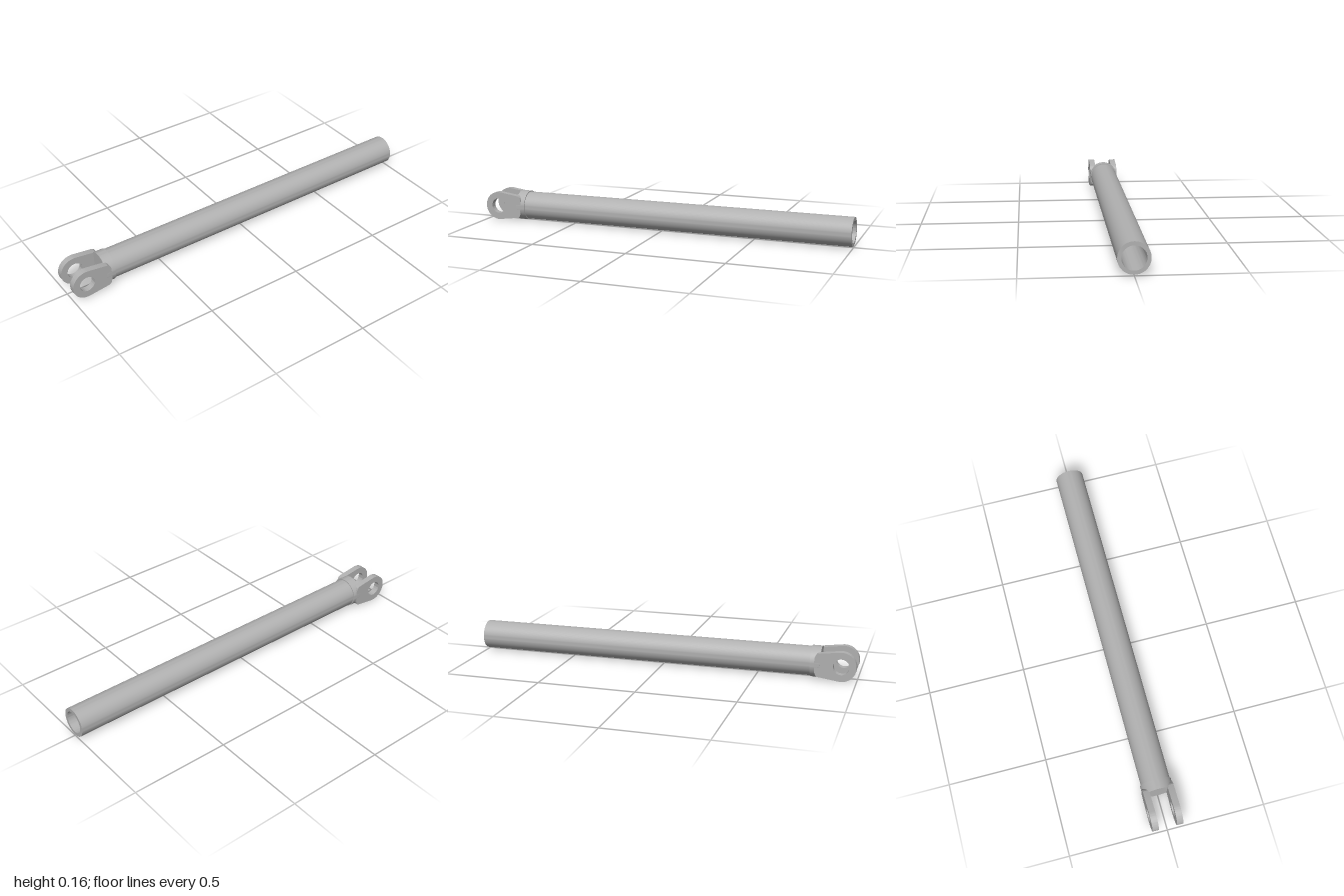
import * as THREE from 'three';
import { toCreasedNormals } from 'three/addons/utils/BufferGeometryUtils.js';

const AXIS_Y = 0.079; // height of the rod's centre line

export function createModel() {
  const model = new THREE.Group();
  model.name = 'clevisRod';
  const steel = new THREE.MeshStandardMaterial({ color: 0xb0b0b0 });
  steel.name = 'grey steel';

  const add = (name, geometry, z = 0) => {
    const mesh = new THREE.Mesh(toCreasedNormals(geometry, 0.5), steel);
    mesh.name = name;
    mesh.position.set(0, AXIS_Y, z);
    model.add(mesh);
  };

  // Turned parts: profile points are [x along the rod, radius]
  const turned = (profile) =>
    new THREE.LatheGeometry(profile.map(([x, r]) => new THREE.Vector2(r, x)), 64).rotateZ(-Math.PI / 2);

  // Hollow tube, open at its +x end
  add('tube', turned([[-0.77, 0.074], [1, 0.074], [1, 0.056], [-0.77, 0.056], [-0.77, 0]]));

  // Solid collar closing the other end
  add('collar', turned([[-0.82, 0], [-0.82, 0.079], [-0.77, 0.079], [-0.77, 0.07]]));

  // Fork ears: round eye tapering into the collar
  const eyeX = -0.925;
  const start = THREE.MathUtils.degToRad(82);
  const ear = new THREE.Shape();
  ear.absarc(eyeX, 0, 0.075, start, 2 * Math.PI - start, false);
  ear.lineTo(-0.812, -0.06);
  ear.quadraticCurveTo(-0.796, -0.056, -0.792, -0.03);
  ear.lineTo(-0.792, 0.03);
  ear.quadraticCurveTo(-0.796, 0.056, -0.812, 0.06);
  ear.closePath();
  const hole = new THREE.Path();
  hole.absarc(eyeX, 0, 0.04, 0, 2 * Math.PI, true);
  ear.holes.push(hole);
  const earGeometry = new THREE.ExtrudeGeometry(ear, { depth: 0.032, bevelEnabled: false, curveSegments: 32 })
    .translate(0, 0, -0.016);
  add('leftEar', earGeometry, 0.062);
  add('rightEar', earGeometry, -0.062);

  return model;
}
